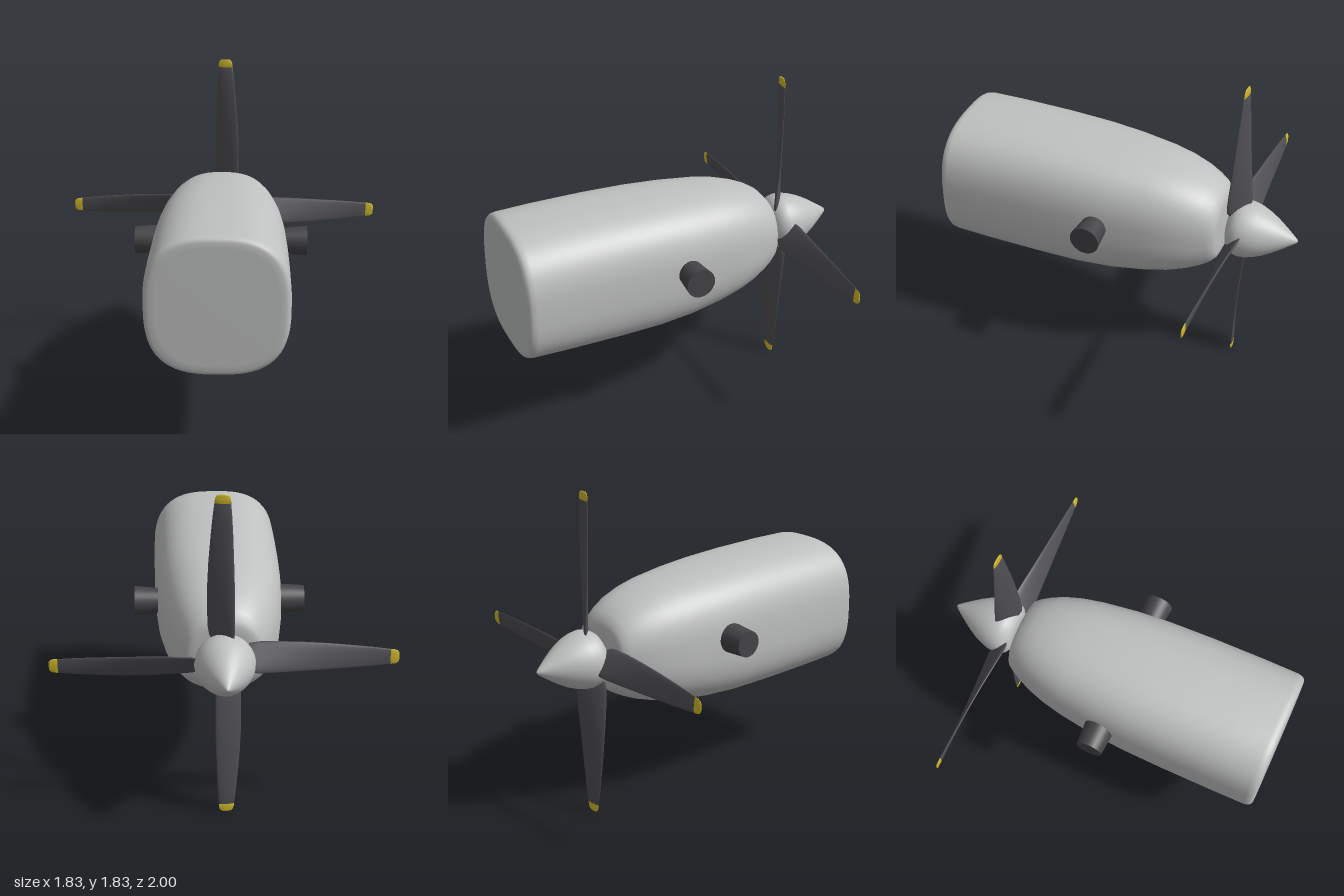
import * as THREE from 'three';

const paint = (color) => new THREE.MeshStandardMaterial({ color });
const AXIS_Y = 0.916;

// Skin a list of equal-length rings (counter-clockwise about +z, z rising) and close both ends.
function loft(rings) {
  const n = rings[0].length, pos = [], idx = [];
  rings.forEach((r) => r.forEach((p) => pos.push(p.x, p.y, p.z)));
  for (let i = 0; i < rings.length - 1; i++) {
    for (let j = 0; j < n; j++) {
      const a = i * n + j, b = i * n + (j + 1) % n, c = a + n, d = b + n;
      idx.push(a, b, c, b, d, c);
    }
  }
  [0, rings.length - 1].forEach((i) => {
    const mid = new THREE.Vector3();
    rings[i].forEach((p) => mid.addScaledVector(p, 1 / n));
    const m = pos.length / 3;
    pos.push(mid.x, mid.y, mid.z);
    for (let j = 0; j < n; j++) {
      const a = i * n + j, b = i * n + (j + 1) % n;
      if (i === 0) idx.push(m, b, a); else idx.push(m, a, b);
    }
  });
  const g = new THREE.BufferGeometry();
  g.setAttribute('position', new THREE.Float32BufferAttribute(pos, 3));
  g.setIndex(idx);
  g.computeVertexNormals();
  return g;
}

// Rounded-square cross-section
function hullRing([z, halfWidth, bottom, top, n]) {
  const cy = (top + bottom) / 2, hh = (top - bottom) / 2, ring = [];
  for (let j = 0; j < 64; j++) {
    const t = (j / 64) * Math.PI * 2, c = Math.cos(t), s = Math.sin(t);
    ring.push(new THREE.Vector3(
      halfWidth * Math.sign(c) * Math.abs(c) ** (2 / n),
      cy + hh * Math.sign(s) * Math.abs(s) ** (2 / n), z));
  }
  return ring;
}

// Lens-shaped blade section: span, trailing x, leading x, half twist depth, half thickness
function bladeRing([span, x0, x1, depth, thick]) {
  const ring = [], cx = (x0 + x1) / 2, half = (x1 - x0) / 2;
  const len = Math.hypot(half, depth), nx = depth / len, ny = half / len;
  for (let j = 0; j < 20; j++) {
    const t = (j / 20) * Math.PI * 2, u = Math.cos(t), v = Math.sin(t) * thick;
    ring.push(new THREE.Vector3(cx + half * u + nx * v, -depth * u + ny * v, span));
  }
  return ring;
}

export function createModel() {
  const model = new THREE.Group();
  model.name = 'engineNacelle';
  const shell = paint(0xbfc0c0), bladeMat = paint(0x504f54);
  const metal = paint(0x444447), tipMat = paint(0xd0b92c);

  const add = (parent, name, geometry, material) => {
    const mesh = new THREE.Mesh(geometry, material);
    mesh.name = name;
    parent.add(mesh);
    return mesh;
  };

  // Nacelle: z, half width, bottom, top, squareness
  const hull = [
    [-0.583, 0.14, 0.79, 1.045, 2.4], [-0.58, 0.175, 0.755, 1.08, 2.4],
    [-0.57, 0.198, 0.728, 1.11, 2.4], [-0.54, 0.217, 0.695, 1.145, 2.4],
    [-0.49, 0.243, 0.665, 1.177, 2.45], [-0.42, 0.273, 0.633, 1.208, 2.5],
    [-0.32, 0.302, 0.6, 1.238, 2.55], [-0.2, 0.325, 0.573, 1.26, 2.6],
    [0, 0.35, 0.546, 1.279, 2.7], [0.2, 0.362, 0.536, 1.29, 2.8],
    [0.45, 0.369, 0.535, 1.298, 2.8], [0.75, 0.372, 0.54, 1.299, 2.8],
    [0.95, 0.372, 0.547, 1.294, 2.8], [0.975, 0.368, 0.551, 1.29, 2.8],
    [0.99, 0.358, 0.56, 1.281, 2.8], [0.997, 0.342, 0.576, 1.265, 2.8],
    [0.998, 0.31, 0.61, 1.235, 2.8],
  ];
  add(model, 'nacelle', loft(hull.map(hullRing)), shell);

  // Exhaust stubs, flaring toward +x
  [[1, 0.083, 0.066], [-1, 0.074, 0.087]].forEach(([side, outer, inner]) => {
    const stub = add(model, side > 0 ? 'leftExhaust' : 'rightExhaust',
      new THREE.CylinderGeometry(outer, inner, 0.18, 32), metal);
    stub.rotation.z = -side * Math.PI / 2;
    stub.position.set(side * 0.39, 0.953, 0.06);
  });

  // Shallow intake blister under the belly
  const scoop = add(model, 'bellyIntake', new THREE.SphereGeometry(1, 32, 20), metal);
  scoop.scale.set(0.12, 0.06, 0.19);
  scoop.position.set(0, 0.58, -0.055);
  scoop.rotation.x = 0.08;

  // Propeller
  const propeller = new THREE.Group();
  propeller.name = 'propeller';
  propeller.position.y = AXIS_Y;
  model.add(propeller);

  // Spinner: radius, distance ahead
  const profile = [[0, 0.607], [0.09, 0.609], [0.115, 0.617], [0.14, 0.635], [0.155, 0.66],
    [0.161, 0.69], [0.157, 0.73], [0.146, 0.77], [0.125, 0.82], [0.097, 0.87],
    [0.064, 0.92], [0.03, 0.968], [0.012, 0.992], [0, 1]]
    .map(([r, d]) => new THREE.Vector2(r, d));
  add(propeller, 'spinner', new THREE.LatheGeometry(profile, 48).rotateX(-Math.PI / 2), shell);

  // Four twisted blades with painted tips
  const blade = loft([
    [0.11, -0.03, 0.065, 0.04, 0.012], [0.135, -0.045, 0.08, 0.05, 0.013],
    [0.18, -0.05, 0.087, 0.051, 0.013], [0.28, -0.051, 0.09, 0.043, 0.012],
    [0.4, -0.05, 0.09, 0.033, 0.011], [0.55, -0.046, 0.083, 0.023, 0.009],
    [0.7, -0.041, 0.071, 0.014, 0.008], [0.8, -0.036, 0.061, 0.008, 0.007],
    [0.867, -0.031, 0.053, 0.004, 0.006],
  ].map(bladeRing)).rotateX(-Math.PI / 2);
  const tip = loft([
    [0.867, -0.031, 0.053, 0.004, 0.006], [0.89, -0.03, 0.05, 0.003, 0.005],
    [0.905, -0.025, 0.044, 0.002, 0.005], [0.913, -0.013, 0.033, 0.001, 0.004],
  ].map(bladeRing)).rotateX(-Math.PI / 2);
  for (let k = 0; k < 4; k++) {
    const arm = new THREE.Group();
    arm.name = 'propellerBlade' + (k + 1);
    arm.rotation.z = -k * Math.PI / 2;
    arm.position.z = -0.663;
    add(arm, 'blade', blade, bladeMat);
    add(arm, 'bladeTip', tip, tipMat);
    propeller.add(arm);
  }
  return model;
}
